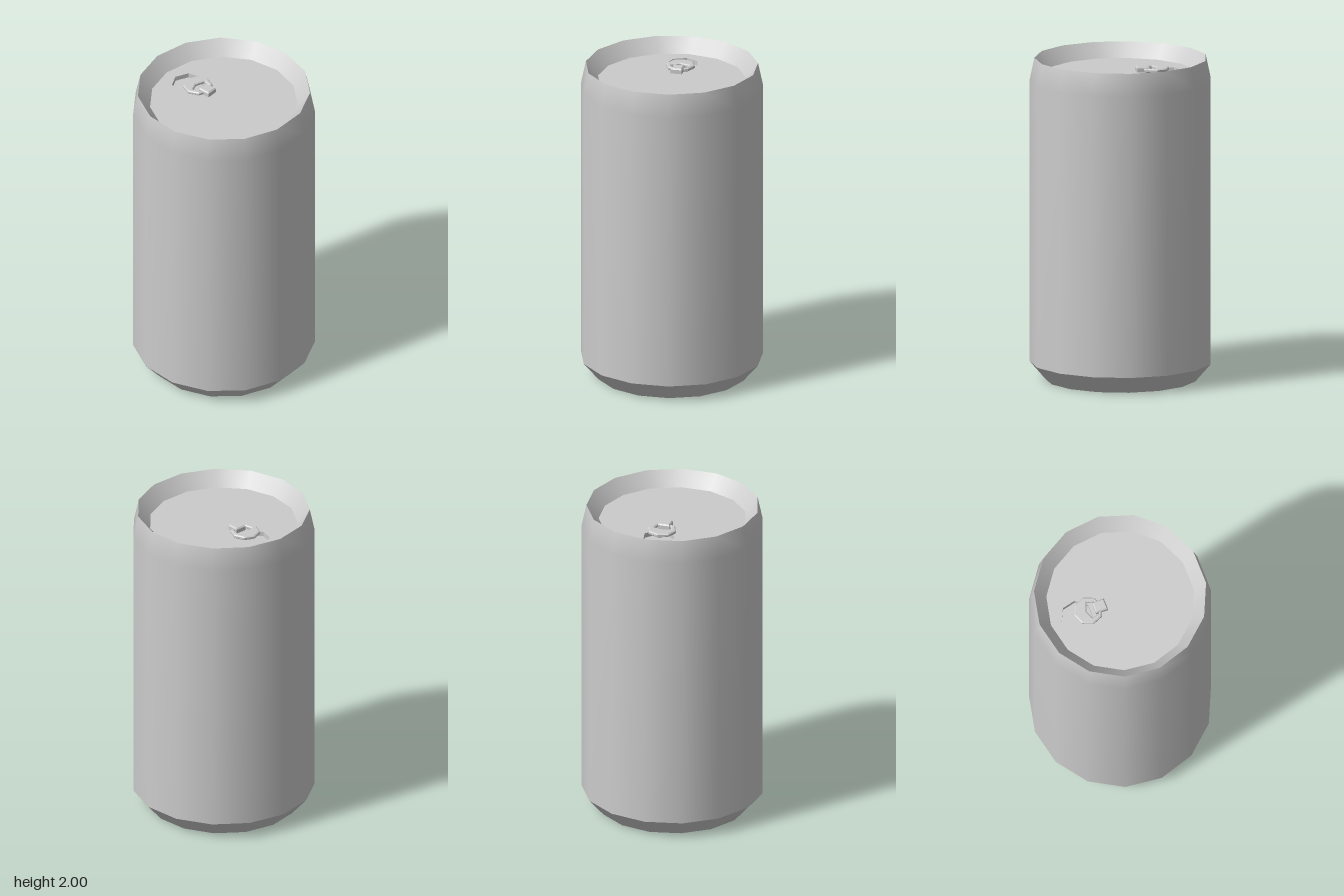
import * as THREE from 'three';

const SIDES = 15;
const LID_Y = 1.91;

export function createModel() {
  const group = new THREE.Group();
  const smooth = new THREE.MeshStandardMaterial({ color: 0xcccccc });
  const flat = new THREE.MeshStandardMaterial({ color: 0xcccccc, flatShading: true });
  const inside = new THREE.MeshStandardMaterial({ color: 0xcccccc, flatShading: true, side: THREE.DoubleSide });

  const add = (name, geometry, material, x = 0, y = 0, z = 0) => {
    const mesh = new THREE.Mesh(geometry, material);
    mesh.name = name;
    mesh.position.set(x, y, z);
    group.add(mesh);
    return mesh;
  };
  // Band of the can, revolved with a corner on -x
  const band = (name, profile) => add(name, new THREE.LatheGeometry(
    profile.map(([r, y]) => new THREE.Vector2(r, y)), SIDES, -Math.PI / 2), smooth);
  // Regular polygon with a corner on -x
  const polygon = (radius, sides, cx = 0, cy = 0) => Array.from({ length: sides }, (_, i) => {
    const a = Math.PI + (i / sides) * Math.PI * 2;
    return new THREE.Vector2(cx + radius * Math.cos(a), cy + radius * Math.sin(a));
  });

  // Can shell: separate bands keep the creases between them sharp
  band('bodyWall', [[0.56, 0.11], [0.56, 1.86], [0.53, 2]]);
  band('baseBevel', [[0.465, 0], [0.56, 0.11]]);
  band('innerRim', [[0.53, 2], [0.455, LID_Y]]);
  add('bottom', new THREE.CircleGeometry(0.465, SIDES, Math.PI).rotateX(Math.PI / 2), flat);

  // Lid with a sunken mouth
  const mouthX = -0.285, mouthR = 0.1, mouthDepth = 0.03;
  const lidShape = new THREE.Shape(polygon(0.455, SIDES));
  lidShape.holes.push(new THREE.Path(polygon(mouthR, 7, mouthX)));
  add('lid', new THREE.ShapeGeometry(lidShape).rotateX(-Math.PI / 2), flat, 0, LID_Y);
  add('mouthWall', new THREE.CylinderGeometry(mouthR, mouthR, mouthDepth, 7, 1, true, -Math.PI / 2),
    inside, mouthX, LID_Y - mouthDepth / 2);
  add('mouthFloor', new THREE.CircleGeometry(mouthR, 7, Math.PI).rotateX(-Math.PI / 2),
    flat, mouthX, LID_Y - mouthDepth);

  // Pull ring, wider on the side over the mouth
  const ringShape = new THREE.Shape(polygon(0.083, 8, -0.21, 0.003));
  ringShape.holes.push(new THREE.Path([[-0.23, 0], [-0.206, -0.06], [-0.15, -0.045],
    [-0.14, 0], [-0.15, 0.05], [-0.206, 0.065]].map(([x, y]) => new THREE.Vector2(x, y))));
  add('pullRing', new THREE.ExtrudeGeometry(ringShape, {
    depth: 0.012, bevelEnabled: true, bevelSize: 0.007, bevelThickness: 0.006, bevelSegments: 1,
  }).rotateX(-Math.PI / 2), flat, 0, LID_Y + 0.006);

  // Rivet block, narrowed towards its top
  const rivet = new THREE.BoxGeometry(0.078, 0.034, 0.072, 1, 2, 1);
  const p = rivet.attributes.position;
  for (let i = 0; i < p.count; i++) {
    if (p.getY(i) > 0.01) p.setXYZ(i, p.getX(i) * 0.8, p.getY(i), p.getZ(i) * 0.8);
    else if (p.getY(i) > -0.01) p.setY(i, 0.009);
  }
  rivet.computeVertexNormals();
  add('rivet', rivet, flat, -0.133, LID_Y + 0.016, -0.004);

  return group;
}
